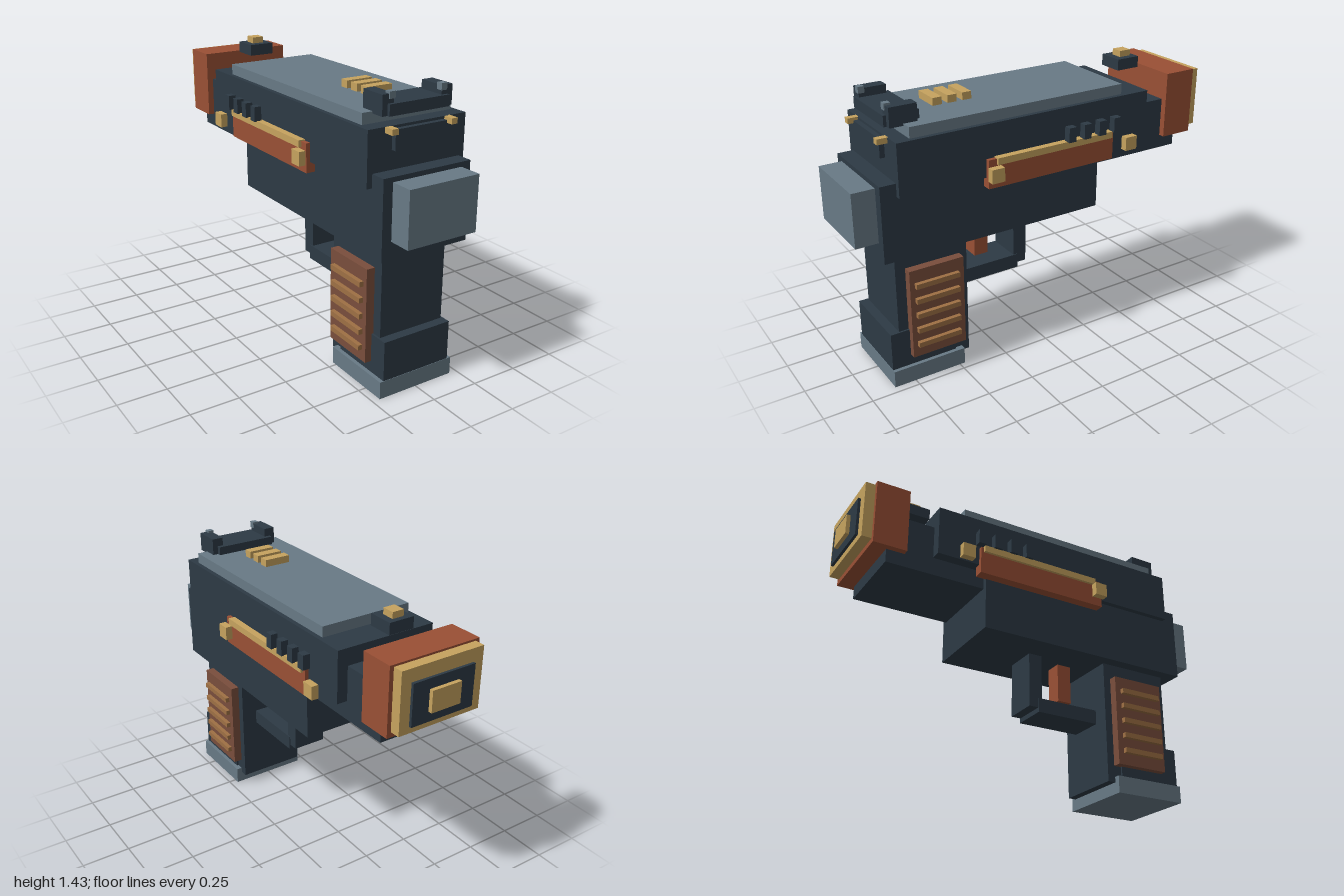
import * as THREE from 'three';

const mat = (name, color) => {
  const m = new THREE.MeshStandardMaterial({ color });
  m.name = name;
  return m;
};

export function createModel() {
  const dark = mat('dark steel', 0x2d3a45);
  const grey = mat('grey steel', 0x687a86);
  const rust = mat('rust red', 0x9a5035);
  const gold = mat('brass', 0xc6a35f);
  const brown = mat('grip brown', 0x7a4e3c);
  const tan = mat('grip rib tan', 0x9e7044);

  const model = new THREE.Group();
  model.name = 'blockyPistol';

  // Box given by its limits on each axis
  const box = (name, m, [x0, x1], [y0, y1], [z0, z1]) => {
    const mesh = new THREE.Mesh(new THREE.BoxGeometry(x1 - x0, y1 - y0, z1 - z0), m);
    mesh.position.set((x0 + x1) / 2, (y0 + y1) / 2, (z0 + z1) / 2);
    mesh.name = name;
    model.add(mesh);
  };
  // Box centred on x = 0, given by its half width
  const mid = (name, m, w, y, z) => box(name, m, [-w, w], y, z);
  // Mirrored pair of boxes
  const pair = (name, m, [x0, x1], y, z) => {
    box(name + 'Left', m, [x0, x1], y, z);
    box(name + 'Right', m, [-x1, -x0], y, z);
  };

  // Body
  mid('frame', dark, 0.24, [0.705, 1.09], [-0.31, 0.885]);
  mid('rearBlock', grey, 0.19, [0.795, 1.067], [0.88, 1.0]);
  mid('slide', dark, 0.268, [1.025, 1.287], [-0.59, 0.805]);
  mid('topPlate', grey, 0.245, [1.28, 1.34], [-0.44, 0.73]);
  mid('rearPlate', dark, 0.14, [1.18, 1.275], [0.8, 0.83]);
  pair('rearStud', gold, [0.145, 0.178], [1.26, 1.287], [0.8, 0.856]);
  mid('barrel', dark, 0.213, [0.93, 1.2], [-0.835, -0.3]);

  // Muzzle, stepping inwards
  mid('muzzleBlock', rust, 0.245, [1.0, 1.342], [-0.915, -0.74]);
  mid('muzzlePlate', gold, 0.224, [1.027, 1.332], [-0.966, -0.91]);
  mid('muzzleInset', dark, 0.17, [1.06, 1.267], [-0.98, -0.96]);
  mid('muzzleCore', gold, 0.08, [1.11, 1.217], [-1.0, -0.975]);

  // Sights and top ribs
  mid('frontSight', dark, 0.067, [1.345, 1.403], [-0.687, -0.556]);
  mid('frontSightBead', gold, 0.031, [1.4, 1.435], [-0.66, -0.595]);
  mid('rearSightBase', dark, 0.162, [1.33, 1.383], [0.637, 0.812]);
  pair('rearSightEar', dark, [0.13, 0.19], [1.33, 1.425], [0.66, 0.797]);
  pair('rearSightDot', grey, [0.125, 0.156], [1.403, 1.435], [0.77, 0.802]);
  for (let i = 0; i < 3; i++) {
    const z = 0.343 + i * 0.078;
    mid('topRib', gold, 0.07, [1.35, 1.387], [z - 0.024, z + 0.024]);
  }

  // Side rails with end blocks and fins
  pair('sideRail', rust, [0.235, 0.289], [0.973, 1.118], [-0.365, 0.358]);
  pair('railStrip', gold, [0.26, 0.303], [1.09, 1.124], [-0.35, 0.315]);
  for (const z of [0.33, -0.45])
    pair('railEndBlock', gold, [0.296, 0.332], [1.015, 1.085], [z - 0.034, z + 0.034]);
  for (let i = 0; i < 4; i++) {
    const z = -0.098 - i * 0.0905;
    pair('fin', dark, [0.279, 0.317], [1.122, 1.197], [z - 0.021, z + 0.021]);
  }

  // Grip
  mid('grip', dark, 0.18, [0.06, 0.71], [0.43, 0.812]);
  mid('gripHeel', dark, 0.19, [0.075, 0.288], [0.51, 0.86]);
  mid('gripBase', grey, 0.21, [0, 0.088], [0.472, 0.862]);
  pair('gripPanel', brown, [0.175, 0.224], [0.145, 0.622], [0.47, 0.76]);
  for (let i = 0; i < 5; i++) {
    const y = 0.218 + i * 0.081;
    pair('gripRib', tan, [0.22, 0.246], [y - 0.013, y + 0.013], [0.502, 0.735]);
  }

  // Trigger and guard
  mid('trigger', rust, 0.045, [0.498, 0.71], [0.23, 0.308]);
  mid('guardBottom', dark, 0.095, [0.39, 0.465], [0.08, 0.435]);
  mid('guardFront', dark, 0.09, [0.415, 0.71], [0.028, 0.102]);

  return model;
}
